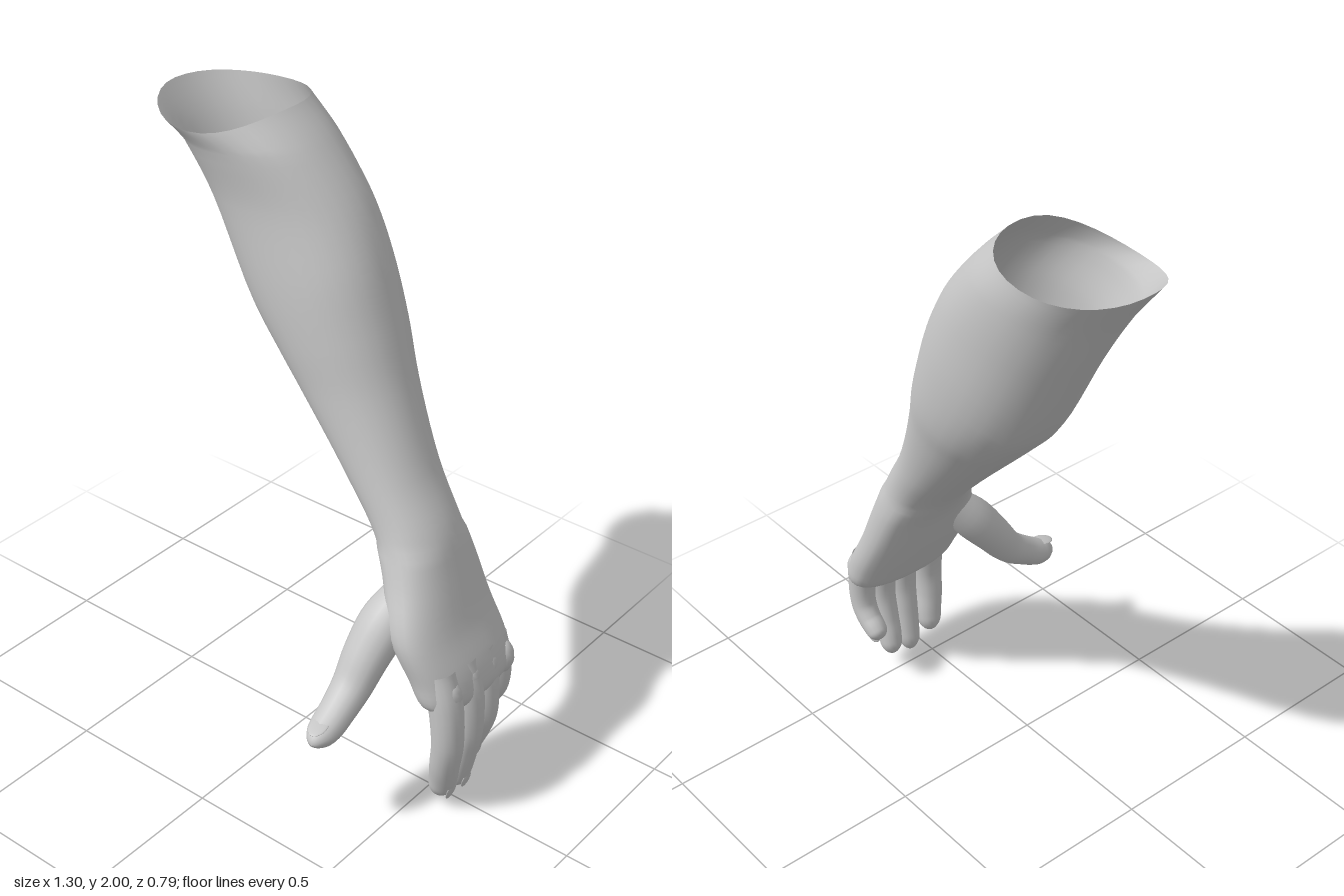
import * as THREE from 'three';

const skin = new THREE.MeshStandardMaterial({ color: 0xc6c6c6, side: THREE.DoubleSide });
skin.name = 'plainGrey';
const V3 = (x, y, z) => new THREE.Vector3(x, y, z);

// Smooth skin through rings; pointAt(t, angle) gives a point, t runs along the limb
function loft(name, rows, sides, pointAt) {
  const pos = [], idx = [];
  for (let i = 0; i <= rows; i++) {
    for (let j = 0; j < sides; j++) {
      pos.push(...pointAt(i / rows, (j / sides) * Math.PI * 2).toArray());
      if (i === rows) continue;
      const a = i * sides + j, b = i * sides + (j + 1) % sides;
      idx.push(a, b, a + sides, b, b + sides, a + sides);
    }
  }
  const g = new THREE.BufferGeometry();
  g.setAttribute('position', new THREE.Float32BufferAttribute(pos, 3));
  g.setIndex(idx);
  g.computeVertexNormals();
  const mesh = new THREE.Mesh(g, skin);
  mesh.name = name;
  return mesh;
}

// Forearm and palm sections: inner edge x, y, outer edge x, y, back z, front z
const sections = [
  [-0.65, 1.97, -0.19, 2.00, -0.385, 0.02],
  [-0.57, 1.85, -0.09, 1.90, -0.39, 0.00],
  [-0.48, 1.69, 0.03, 1.75, -0.39, -0.02],
  [-0.31, 1.39, 0.11, 1.60, -0.385, -0.005],
  [-0.20, 1.27, 0.18, 1.42, -0.365, 0.00],
  [-0.10, 1.17, 0.245, 1.25, -0.325, 0.00],
  [0.10, 0.97, 0.355, 1.02, -0.27, 0.015],
  [0.22, 0.84, 0.45, 0.87, -0.25, 0.035],
  [0.29, 0.74, 0.50, 0.75, -0.262, 0.075],
  [0.36, 0.60, 0.56, 0.60, -0.275, 0.135],
  [0.43, 0.47, 0.62, 0.48, -0.28, 0.125],
  [0.48, 0.39, 0.635, 0.41, -0.27, 0.115],
  [0.53, 0.36, 0.61, 0.36, -0.20, 0.05],
];

function buildArm() {
  const inner = new THREE.CatmullRomCurve3(sections.map(s => V3(s[0], s[1], s[4])));
  const outer = new THREE.CatmullRomCurve3(sections.map(s => V3(s[2], s[3], s[5])));
  return loft('forearmAndPalm', 60, 32, (t, a) => {
    const A = inner.getPoint(t), B = outer.getPoint(t);
    const pow = t > 0.6 ? 0.85 : 0.95;
    const soft = v => Math.sign(v) * Math.abs(v) ** pow;
    const u = (1 + soft(Math.cos(a))) / 2, s = Math.sin(a);
    const p = V3(
      THREE.MathUtils.lerp(A.x, B.x, u),
      THREE.MathUtils.lerp(A.y, B.y, u),
      THREE.MathUtils.lerp(A.z, B.z, (1 + soft(s)) / 2));
    // Uneven cut rim
    p.y -= Math.max(0, 1 - t * 12) * s * s * (s > 0 ? 0.06 : 0.015);
    return p;
  });
}

// Digit: path of [x, y, z, radius]; side is the direction across the nail
function buildDigit(name, path, side, flat = 1) {
  const group = new THREE.Group();
  group.name = name;
  const curve = new THREE.CatmullRomCurve3(path.map(p => V3(p[0], p[1], p[2])));
  const radii = new THREE.CatmullRomCurve3(path.map((p, i) => V3(i, p[3], 0)));
  const frame = t => {
    const T = curve.getTangent(t);
    const U = side.clone().cross(T).normalize();
    return { c: curve.getPoint(t), T, U, V: T.clone().cross(U), r: radii.getPoint(t).y };
  };
  group.add(loft(name + 'Flesh', 36, 16, (q, a) => {
    const t = 1 - (1 - q) ** 1.4;
    const f = frame(t);
    const e = Math.max(0, (t - 0.87) / 0.13);
    const r = f.r * Math.sqrt(Math.max(0, 1 - e * e));
    return f.c.addScaledVector(f.U, Math.cos(a) * r * flat).addScaledVector(f.V, Math.sin(a) * r);
  }));
  // Nail
  const f = frame(0.89);
  const nail = new THREE.Mesh(new THREE.SphereGeometry(1, 14, 10), skin);
  nail.name = name + 'Nail';
  const m = new THREE.Matrix4().makeBasis(f.U, f.V, f.T);
  nail.quaternion.setFromRotationMatrix(m);
  nail.position.copy(f.c).addScaledVector(f.U, f.r * flat * 0.93);
  nail.scale.set(0.0045, f.r * 0.6, f.r * 0.85);
  group.add(nail);
  return group;
}

export function createModel() {
  const model = new THREE.Group();
  model.name = 'forearmWithHand';
  model.add(buildArm());

  // Fingers bend gently, the little finger curls most
  const across = V3(0, 0, 1);
  const fingers = {
    indexFinger: [[0.55, 0.50, 0.055, 0.05], [0.583, 0.40, 0.06, 0.053], [0.60, 0.27, 0.065, 0.05],
      [0.59, 0.18, 0.06, 0.047], [0.578, 0.11, 0.048, 0.044], [0.56, 0.035, 0.04, 0.036]],
    middleFinger: [[0.56, 0.50, -0.035, 0.05], [0.593, 0.40, -0.037, 0.05], [0.602, 0.26, -0.038, 0.046],
      [0.588, 0.17, -0.042, 0.043], [0.572, 0.09, -0.047, 0.04], [0.552, 0.005, -0.052, 0.034]],
    ringFinger: [[0.56, 0.50, -0.125, 0.048], [0.588, 0.39, -0.127, 0.048], [0.592, 0.27, -0.13, 0.045],
      [0.568, 0.18, -0.135, 0.042], [0.545, 0.12, -0.14, 0.039], [0.525, 0.055, -0.147, 0.033]],
    littleFinger: [[0.55, 0.49, -0.215, 0.045], [0.573, 0.39, -0.22, 0.045], [0.565, 0.29, -0.224, 0.041],
      [0.535, 0.245, -0.226, 0.038], [0.505, 0.22, -0.226, 0.036], [0.475, 0.19, -0.226, 0.03]],
  };
  for (const [name, path] of Object.entries(fingers)) model.add(buildDigit(name, path, across));

  // Thumb, pointing forward and down from the wrist
  model.add(buildDigit('thumb', [
    [0.39, 0.70, 0.00, 0.06], [0.365, 0.61, 0.075, 0.08], [0.35, 0.52, 0.145, 0.074],
    [0.345, 0.44, 0.205, 0.064], [0.345, 0.39, 0.27, 0.057], [0.345, 0.355, 0.33, 0.052],
    [0.35, 0.338, 0.40, 0.036]], V3(-1, 0, 0), 0.85));

  // Knuckles along the back of the hand
  for (const [y, z] of [[0.43, 0.055], [0.445, -0.037], [0.44, -0.127], [0.42, -0.215]]) {
    const knuckle = new THREE.Mesh(new THREE.SphereGeometry(1, 16, 12), skin);
    knuckle.name = 'knuckle';
    knuckle.position.set(0.585, y, z);
    knuckle.scale.set(0.045, 0.06, 0.042);
    model.add(knuckle);
  }
  return model;
}
